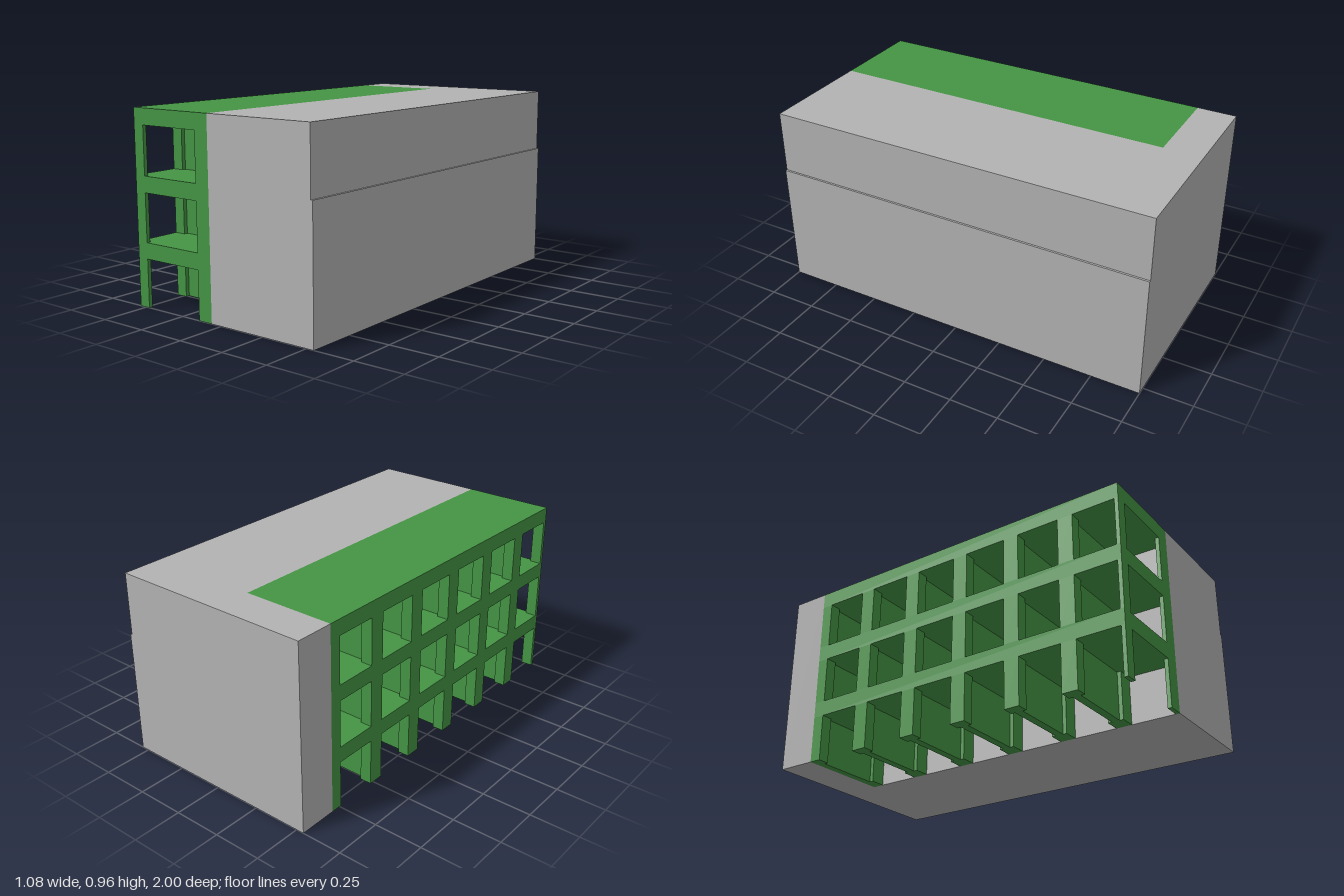
import * as THREE from 'three';

export function createModel() {
  const model = new THREE.Group();
  model.name = 'building';
  const grey = new THREE.MeshStandardMaterial({ color: 0xb2b2b2 });
  grey.name = 'grey concrete';
  const green = new THREE.MeshStandardMaterial({ color: 0x449444 });
  green.name = 'green frame';

  // Box given by its extents on each axis
  function box(name, material, [x0, x1], [y0, y1], [z0, z1], parent = model) {
    const mesh = new THREE.Mesh(new THREE.BoxGeometry(x1 - x0, y1 - y0, z1 - z0), material);
    mesh.position.set((x0 + x1) / 2, (y0 + y1) / 2, (z0 + z1) / 2);
    mesh.name = name;
    parent.add(mesh);
  }

  const left = -0.54, inner = -0.06, back = -0.8;

  // Solid block, its top storey set back slightly along one side
  box('lowerBlock', grey, [inner, 0.54], [0, 0.64], [-1, 1]);
  box('upperBlock', grey, [inner, 0.53], [0.64, 0.96], [-1, 1]);
  box('backBlock', grey, [left, inner], [0, 0.96], [-1, back]);

  // Open frame: three storeys of posts and cross walls under thick slabs
  for (let floor = 0; floor < 3; floor++) {
    const storey = new THREE.Group();
    storey.name = 'storey' + (floor + 1);
    model.add(storey);
    const y = floor * 0.32;
    const room = [y, y + 0.24];
    box('slab', green, [left, inner], [y + 0.24, y + 0.32], [back, 1], storey);

    for (let i = 0; i < 7; i++) {
      const centre = -0.78 + i * 0.3;
      const z = [Math.max(back, centre - 0.04), Math.min(1, centre + 0.04)];
      box('outerPost', green, [left, -0.48], room, z, storey);
      box('innerPost', green, [-0.14, inner], room, z, storey);
      // The front bay stays open
      if (i < 6) {
        box('crossWall', green, [-0.48, -0.14], room, [Math.max(back, centre - 0.02), centre + 0.02], storey);
      }
    }
  }
  return model;
}
